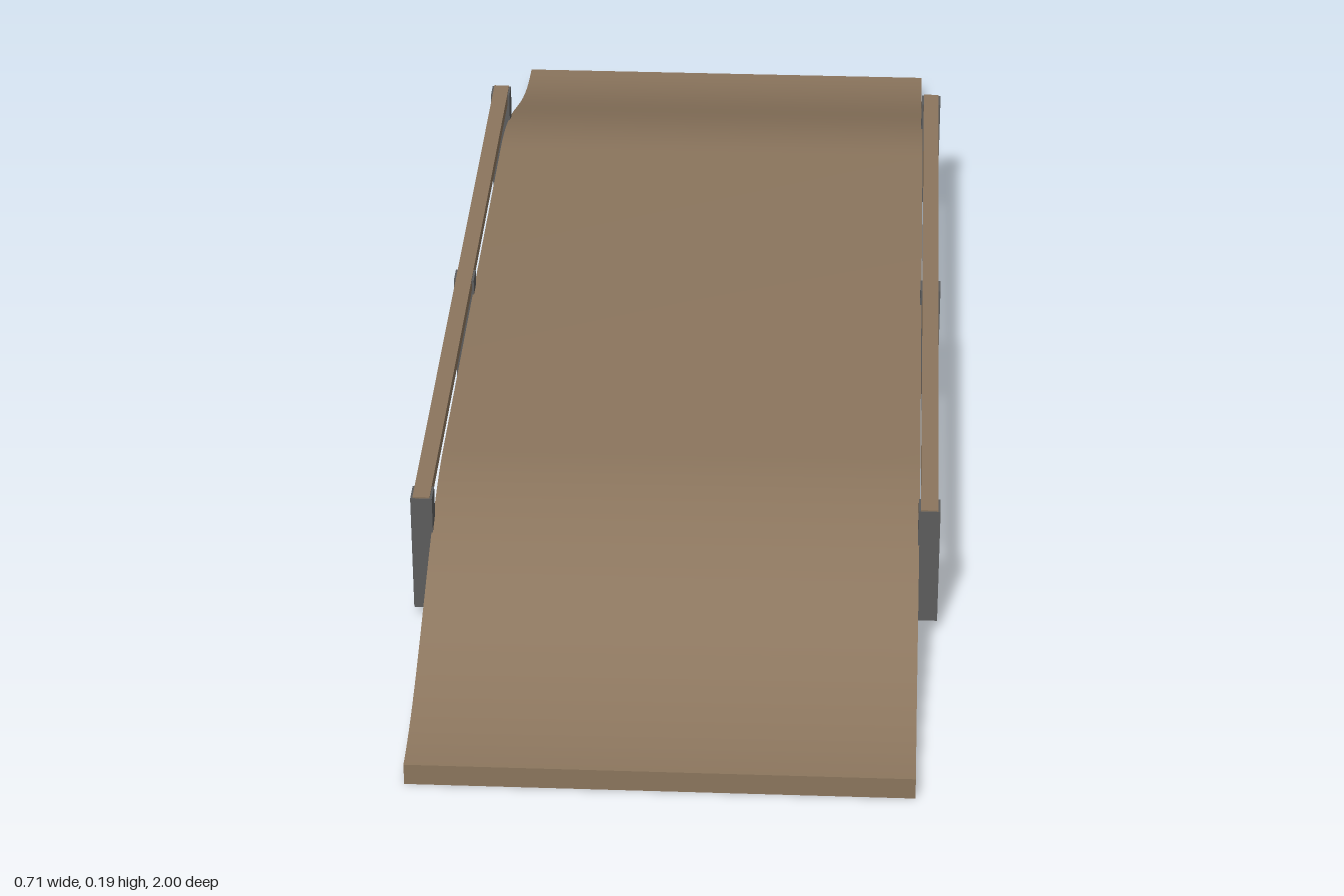
import * as THREE from 'three';
import { toCreasedNormals } from 'three/addons/utils/BufferGeometryUtils.js';

const wood = new THREE.MeshStandardMaterial({ name: 'wood', color: 0x8b755d });
const steel = new THREE.MeshStandardMaterial({ name: 'steel', color: 0x5c5c5c });

const WIDTH = 0.654, LIP = 0.03, HEIGHT = 0.167, FLAT = 0.45;

// Height of the deck: a flat table with an S-shaped ramp at each end
function deckHeight(z) {
  const t = Math.min(1, (1 - Math.abs(z)) / (1 - FLAT));
  return LIP + (HEIGHT - LIP) * t * t * (3 - 2 * t);
}

// Side profile swept across the width
function deckGeometry() {
  const shape = new THREE.Shape();
  shape.moveTo(-1, 0);
  shape.lineTo(1, 0);
  const steps = 24;
  for (const side of [1, -1]) {
    for (let i = 0; i <= steps; i++) {
      const k = side > 0 ? i : steps - i;
      const z = side * (1 - (1 - FLAT) * k / steps);
      shape.lineTo(z, deckHeight(z));
    }
  }
  shape.closePath();
  const geometry = new THREE.ExtrudeGeometry(shape, { depth: WIDTH, bevelEnabled: false });
  geometry.translate(0, 0, -WIDTH / 2);
  geometry.rotateY(Math.PI / 2);
  return toCreasedNormals(geometry, 0.5);
}

function addBox(parent, name, material, size, position) {
  const mesh = new THREE.Mesh(new THREE.BoxGeometry(...size), material);
  mesh.name = name;
  mesh.position.set(...position);
  parent.add(mesh);
}

export function createModel() {
  const model = new THREE.Group();
  model.name = 'ramp';

  const deck = new THREE.Mesh(deckGeometry(), wood);
  deck.name = 'deck';
  model.add(deck);

  // A rail on three posts along each side
  for (const [side, label] of [[1, 'left'], [-1, 'right']]) {
    const railing = new THREE.Group();
    railing.name = label + 'Railing';
    const x = side * 0.3395;
    for (const z of [-0.6, 0, 0.6]) {
      addBox(railing, 'post', steel, [0.029, 0.173, 0.032], [x, 0.1035, z]);
    }
    addBox(railing, 'rail', wood, [0.023, 0.018, 1.23], [x, 0.183, 0]);
    model.add(railing);
  }
  return model;
}
